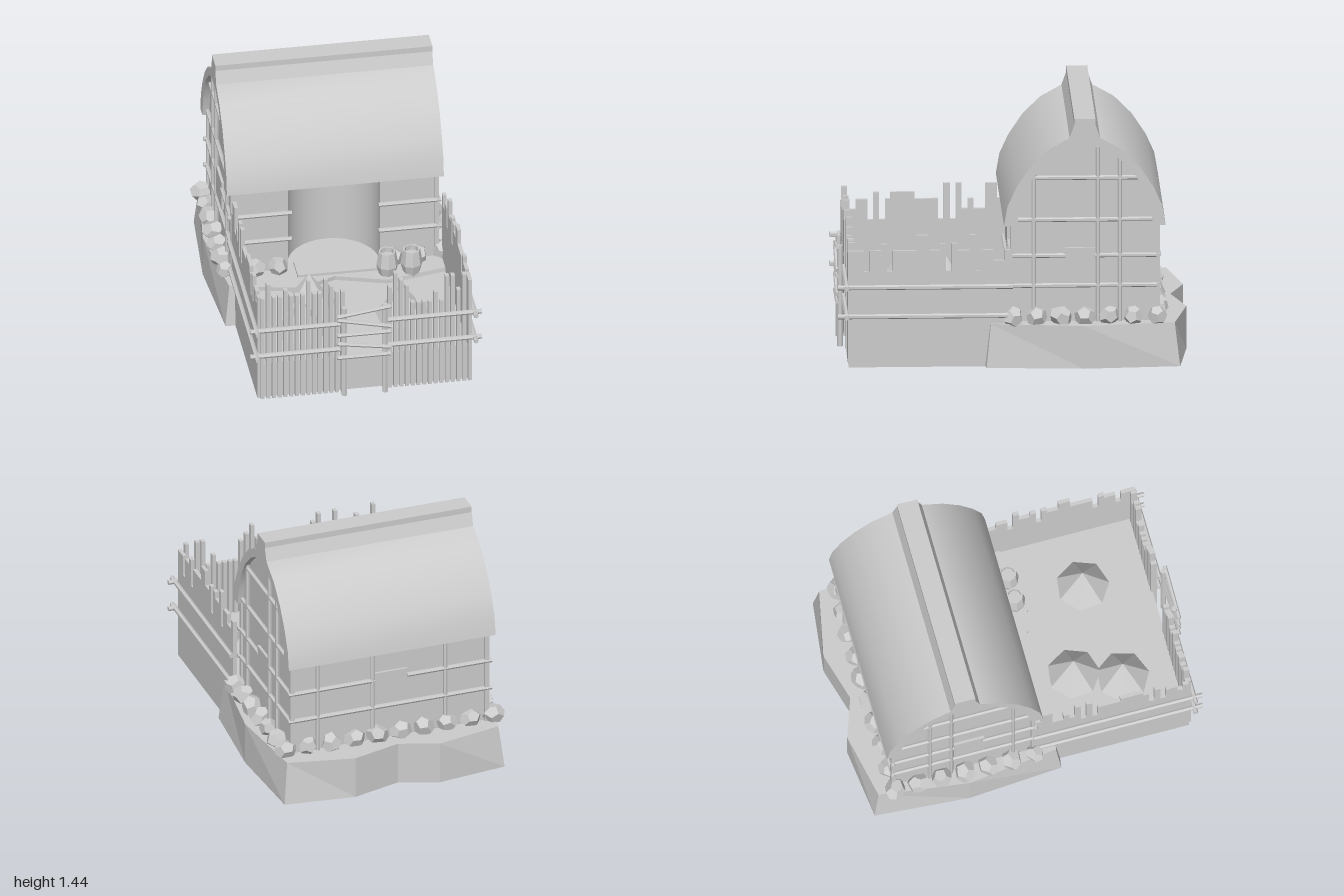
import * as THREE from 'three';
import { toCreasedNormals } from 'three/addons/utils/BufferGeometryUtils.js';

const mat = new THREE.MeshStandardMaterial({ color: 0xcccccc, flatShading: true, side: THREE.DoubleSide });
const smooth = new THREE.MeshStandardMaterial({ color: 0xcccccc, side: THREE.DoubleSide });
const V = (x, y, z) => new THREE.Vector3(x, y, z);

let seed = 7;
const rand = () => (seed = (seed * 16807) % 2147483647) / 2147483647;

function add(parent, name, geo, x = 0, y = 0, z = 0, m = mat) {
  const mesh = new THREE.Mesh(geo, m);
  mesh.name = name;
  mesh.position.set(x, y, z);
  parent.add(mesh);
  return mesh;
}

function group(parent, name) {
  const g = new THREE.Group();
  g.name = name;
  parent.add(g);
  return g;
}

// box given by its two opposite corners
function box(parent, name, x0, x1, y0, y1, z0, z1) {
  return add(parent, name, new THREE.BoxGeometry(x1 - x0, y1 - y0, z1 - z0),
    (x0 + x1) / 2, (y0 + y1) / 2, (z0 + z1) / 2);
}

// round pole between two points
function pole(parent, name, a, b, r = 0.013) {
  const d = b.clone().sub(a);
  const m = add(parent, name, new THREE.CylinderGeometry(r, r, d.length(), 6));
  m.position.copy(a).add(b).multiplyScalar(0.5);
  m.quaternion.setFromUnitVectors(V(0, 1, 0), d.normalize());
  return m;
}

// z,y profile extruded along x
function extrudeX(points, x0, x1) {
  const shape = new THREE.Shape(points.map(([z, y]) => new THREE.Vector2(-z, y)));
  const geo = new THREE.ExtrudeGeometry(shape, { depth: x1 - x0, bevelEnabled: false });
  return geo.rotateY(Math.PI / 2).translate(x0, 0, 0);
}

// walls between two outlines with a cap on top, open below
function plinth(bottom, top, h) {
  const n = bottom.length, pos = [], idx = [];
  bottom.forEach(([x, z]) => pos.push(x, 0, z));
  top.forEach(([x, z]) => pos.push(x, h, z));
  for (let i = 0; i < n; i++) {
    const j = (i + 1) % n;
    idx.push(i, n + i, j, j, n + i, n + j);
  }
  const flat = top.map(([x, z]) => new THREE.Vector2(x, -z));
  for (const t of THREE.ShapeUtils.triangulateShape(flat, [])) idx.push(...t.map(i => i + n));
  const geo = new THREE.BufferGeometry();
  geo.setAttribute('position', new THREE.Float32BufferAttribute(pos, 3));
  geo.setIndex(idx);
  geo.computeVertexNormals();
  return geo;
}

// half profile mirrored about the ridge line
const RIDGE = -0.41;
const mirror = half => [...half, ...half.map(([z, y]) => [2 * RIDGE - z, y]).reverse()];
const outer = mirror([[0.05, 0.815], [0.03, 0.93], [-0.02, 1.04], [-0.1, 1.16], [-0.2, 1.26], [-0.325, 1.33]]);
const inner = mirror([[-0.02, 0.815], [-0.04, 0.93], [-0.08, 1.04], [-0.145, 1.14], [-0.245, 1.23], [-0.34, 1.28]]);

function buildBase(root) {
  const half = [[-0.03, 0.12], [0.255, 0.205], [0.665, 0.15], [0.705, -0.4], [0.665, -0.95], [0.255, -1], [-0.03, -0.92]];
  const left = half.slice(1, 6).map(([x, z]) => [-x, z]).reverse();
  const bottom = [...half, ...left];
  const top = bottom.map(([x, z]) => Math.abs(x) === 0.665
    ? [x * 0.96, z + (z > 0 ? -0.025 : 0.03)] : [x, z]);
  // counter-clockwise seen from above
  add(root, 'stoneBase', plinth(bottom, top, 0.25));
  const yard = [[-0.585, 0.91], [0.605, 0.91], [0.605, 0.1], [-0.585, 0.1]];
  add(root, 'yardGround', plinth(yard, yard, 0.225));
  box(root, 'doorstep', -0.24, 0.23, 0.2, 0.265, -0.05, 0.1);
}

function buildHouse(root) {
  const g = group(root, 'house');
  const x0 = -0.6, x1 = 0.575;
  const roof = toCreasedNormals(extrudeX([...outer, ...inner.slice().reverse()], -0.64, 0.61), 0.55);
  add(g, 'roof', roof, 0, 0, 0, smooth);
  const cap = mirror([[-0.32, 1.32], [-0.35, 1.405], [-0.35, 1.44]]);
  add(g, 'ridgeCap', extrudeX(cap, -0.64, 0.61));

  // end walls, back wall and front wall with a curved entrance
  const gable = mirror([[0, 0.25], [0, 0.82], ...inner.filter(p => p[0] > RIDGE)]);
  add(g, 'gableWall', extrudeX(gable, x0, x0 + 0.02));
  add(g, 'gableWall', extrudeX(gable, x1 - 0.02, x1));
  box(g, 'backWall', x0, x1, 0.25, 0.85, -0.82, -0.8);
  box(g, 'frontWall', x0, -0.28, 0.25, 0.85, -0.02, 0);
  box(g, 'frontWall', 0.25, x1, 0.25, 0.85, -0.02, 0);
  const niche = new THREE.CylinderGeometry(0.265, 0.265, 0.65, 24, 1, true, Math.PI / 2, Math.PI);
  add(g, 'curvedEntrance', niche, -0.015, 0.575, -0.01, smooth);

  // timber frame
  const t = group(g, 'timberFrame');
  for (const x of [x0, x1]) {
    const s = Math.sign(x), px = x + s * 0.01;
    const railZ = [[1.09, -0.12, -0.72], [0.845, -0.03, -0.8], [0.635, 0.02, -0.3],
      [0.635, -0.47, -0.82], [0.46, 0.02, -0.83]];
    for (const [y, a, b] of railZ) pole(t, 'gableRail', V(px, y, a), V(px, y, b));
    for (const [z, y] of [[-0.12, 1.12], [-0.485, 1.27], [-0.61, 1.22]])
      pole(t, 'gablePost', V(px, 0.25, z), V(px, y, z));
    for (const z of [0, -0.825]) box(t, 'cornerPost', x - 0.013, x + 0.013, 0.25, 0.83, z - 0.013, z + 0.013);
    box(g, 'sideWindow', x - 0.015, x + 0.015, 0.5, 0.68, -0.47, -0.29);
  }
  for (const y of [0.46, 0.635]) {
    pole(t, 'frontRail', V(-0.63, y, 0.01), V(-0.26, y, 0.01));
    pole(t, 'frontRail', V(0.24, y, 0.01), V(0.6, y, 0.01));
  }
  pole(t, 'backRail', V(-0.63, 0.46, -0.83), V(0.6, 0.46, -0.83));
  pole(t, 'backRail', V(-0.63, 0.635, -0.83), V(-0.12, 0.635, -0.83));
  pole(t, 'backRail', V(0.08, 0.635, -0.83), V(0.6, 0.635, -0.83));
  for (const x of [-0.35, 0.09, 0.42]) pole(t, 'backPost', V(x, 0.25, -0.83), V(x, 0.83, -0.83));
  box(g, 'backWindow', -0.12, 0.08, 0.5, 0.68, -0.835, -0.805);
}

function buildStones(root) {
  const g = group(root, 'foundationStones');
  const stone = (x, z) => {
    const geo = new THREE.DodecahedronGeometry(0.06 + 0.012 * rand(), 0);
    const m = add(g, 'stone', geo, x, 0.285, z);
    m.scale.set(0.85, 0.85, 1);
    m.rotation.set(rand() * 3, rand() * 3, rand() * 3);
  };
  for (let i = 0; i < 7; i++) {
    stone(-0.64, 0 - i * 0.137);
    stone(0.615, 0 - i * 0.137);
  }
  for (let i = 1; i < 9; i++) stone(-0.64 + i * 0.14, -0.83);
  for (const x of [-0.48, -0.34, 0.32, 0.46]) stone(x, 0.02);
}

function buildFence(root) {
  const g = group(root, 'palisade');
  const tops = [0.68, 0.68, 0.72, 0.68, 0.62, 0.77, 0.68, 0.72, 0.56];
  const stake = (x, z) => {
    const h = tops[Math.floor(rand() * tops.length)];
    box(g, 'stake', x - 0.011, x + 0.011, 0, h, z - 0.017, z + 0.017);
  };
  for (let i = 0; i < 15; i++) {
    stake(-0.58 + i * 0.033, 0.917);
    stake(0.615 - i * 0.033, 0.917);
  }
  for (let i = 0; i < 27; i++) {
    stake(-0.597, 0.9 - i * 0.0335);
    stake(0.615, 0.9 - i * 0.0335);
  }
  for (const y of [0.3, 0.47]) {
    pole(g, 'frontFenceRail', V(-0.655, y, 0.945), V(-0.135, y, 0.945), 0.014);
    pole(g, 'frontFenceRail', V(0.13, y, 0.945), V(0.68, y, 0.945), 0.014);
    pole(g, 'sideFenceRail', V(-0.618, y, 0), V(-0.618, y, 0.995), 0.014);
    pole(g, 'sideFenceRail', V(0.64, y, 0), V(0.64, y, 0.995), 0.014);
  }

  // gate with two posts and crossed bars
  const gate = group(root, 'gate');
  for (const x of [-0.115, 0.12]) pole(gate, 'gatePost', V(x, 0, 0.965), V(x, 0.59, 0.965), 0.017);
  for (const [a, b] of [[0.54, 0.585], [0.52, 0.45], [0.415, 0.415], [0.36, 0.31], [0.265, 0.265]])
    pole(gate, 'gateBar', V(-0.16, a, 0.982), V(0.15, b, 0.982), 0.012);
}

function buildYardItems(root) {
  for (const [x, z] of [[-0.215, 0.345], [-0.305, 0.61], [0.285, 0.535]]) {
    const heap = add(root, 'hayHeap', new THREE.ConeGeometry(0.153, 0.21, 7), x, 0.33, z);
    heap.rotation.y = x * 9;
  }
  const profile = [[0, 0], [0.045, 0], [0.063, 0.07], [0.05, 0.16], [0.04, 0.16], [0.04, 0.13], [0, 0.13]];
  const barrel = new THREE.LatheGeometry(profile.map(p => new THREE.Vector2(...p)), 8);
  for (const x of [0.27, 0.41]) add(root, 'barrel', barrel, x, 0.235, 0.13);
}

export function createModel() {
  const root = new THREE.Group();
  root.name = 'farmstead';
  buildBase(root);
  buildHouse(root);
  buildStones(root);
  buildFence(root);
  buildYardItems(root);
  return root;
}
